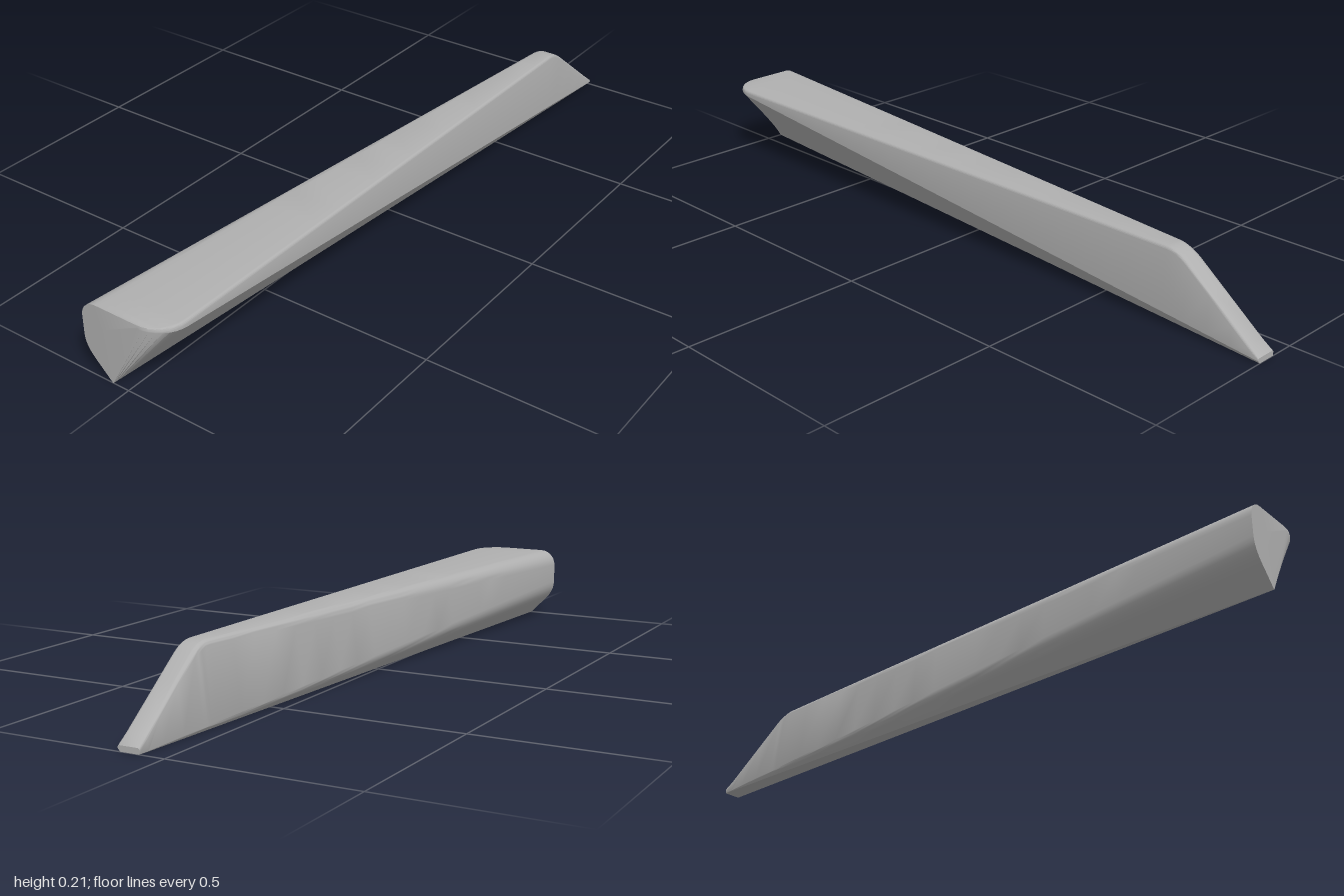
import * as THREE from 'three';
import { toCreasedNormals } from 'three/addons/utils/BufferGeometryUtils.js';

const lerp = THREE.MathUtils.lerp;

// Quarter round from (z0, y0) to (z1, y1); "rise" starts it vertically
function quarter(z0, y0, z1, y1, n, rise) {
  const pts = [];
  for (let i = 0; i <= n; i++) {
    const a = (i / n) * Math.PI / 2, s = Math.sin(a), c = 1 - Math.cos(a);
    pts.push([lerp(z0, z1, rise ? c : s), lerp(y0, y1, rise ? s : c)]);
  }
  return pts;
}

// Closed cross-section at x as [z, y] points: front bottom, over the top, back bottom
function section(x) {
  const t = (x + 1) / 2, s = Math.max(1 - t, 0.01);
  // top height, with the sloped nose
  let h = 0.21;
  if (x > 0.72) h = x < 0.78 ? lerp(0.21, 0.188, ((x - 0.72) / 0.06) ** 2) : lerp(0.188, 0.015, (x - 0.78) / 0.22);
  const e = Math.min(0.008, h * 0.3);
  // diagonal ridge between the upright front and the undercut
  const ridge = Math.min(lerp(0.2, 0.008, t), h - e);
  // rounded front corner at the wide end, fading out towards the bottom
  const u = Math.max(0, (-0.92 - x) / 0.08);
  const front = 0.128 - 0.078 * (1 - Math.sqrt(Math.max(0, 1 - u * u)));
  const frontBottom = 0.128 - 0.88 * lerp(0.2, 0.008, t);
  // twisted back face
  const back = lerp(-0.128, 0.068, t);
  const backTop = Math.min(0.068, lerp(-0.128, 0.068, (x + 1) / 1.75));
  const r = Math.min(lerp(0.046, 0.01, t), h * 0.3);
  // lower back round, running into the chamfer
  const low = new THREE.QuadraticBezierCurve(
    new THREE.Vector2(back, 0.11 * s),
    new THREE.Vector2(back, 0.078 * s),
    new THREE.Vector2(back + 0.028 * s, 0.05 * s)
  ).getPoints(5).map((p) => [p.x, p.y]);
  return [
    [frontBottom, 0],
    [front, ridge],
    ...quarter(front, h - e + 0.0005, front - e, h, 4, true),
    ...quarter(backTop + r, h, backTop, h - r, 7, false),
    ...low,
    [back + 0.078 * s, 0],
  ];
}

// Skin the cross-sections and close both ends
function loft(stations) {
  const pos = [], index = [];
  const rings = stations.map(section);
  const n = rings[0].length;
  rings.forEach((ring, i) => ring.forEach(([z, y]) => pos.push(stations[i], y, z)));
  for (let i = 0; i < rings.length - 1; i++) {
    for (let j = 0; j < n; j++) {
      const k = (j + 1) % n;
      const a = i * n + j, b = i * n + k, c = b + n, d = a + n;
      index.push(a, d, c, a, c, b);
    }
  }
  [0, rings.length - 1].forEach((i) => {
    const ring = rings[i], centre = pos.length / 3;
    pos.push(stations[i],
      ring.reduce((sum, p) => sum + p[1], 0) / n,
      ring.reduce((sum, p) => sum + p[0], 0) / n);
    for (let j = 0; j < n; j++) {
      const a = i * n + j, b = i * n + (j + 1) % n;
      if (i === 0) index.push(centre, a, b);
      else index.push(centre, b, a);
    }
  });
  const geo = new THREE.BufferGeometry();
  geo.setAttribute('position', new THREE.Float32BufferAttribute(pos, 3));
  geo.setIndex(index);
  return toCreasedNormals(geo, 0.55);
}

export function createModel() {
  const grey = new THREE.MeshStandardMaterial({ color: 0xb0b0b0 });
  grey.name = 'plain grey';

  // Stations: dense at the rounded corner and at the nose bend
  const stations = [];
  for (let i = 0; i <= 8; i++) stations.push(-0.92 - 0.08 * Math.cos((i / 8) * Math.PI / 2));
  for (let i = 1; i <= 20; i++) stations.push(lerp(-0.92, 0.72, i / 20));
  stations.push(0.735, 0.75, 0.765, 0.78, 0.85, 0.92, 0.97, 1);

  const body = new THREE.Mesh(loft(stations), grey);
  body.name = 'taperedBody';

  const model = new THREE.Group();
  model.name = 'taperedBar';
  model.add(body);
  return model;
}
